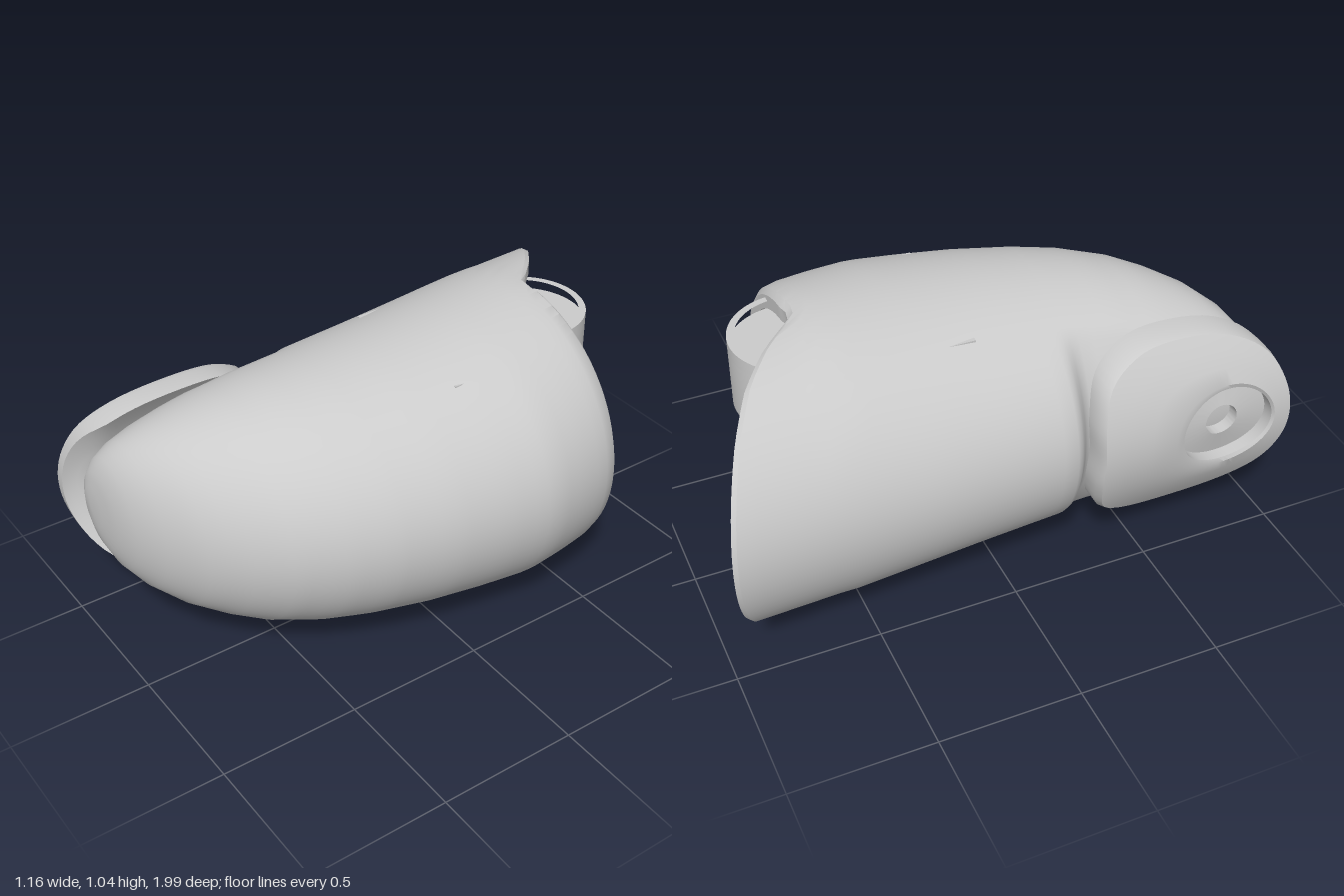
import * as THREE from 'three';
import { toCreasedNormals } from 'three/addons/utils/BufferGeometryUtils.js';

const MID = 0.52; // height of the horizontal symmetry plane

// Piecewise-linear lookup of column c in rows sorted by column 0
function lookup(rows, v, c) {
  if (v <= rows[0][0]) return rows[0][c];
  for (let i = 1; i < rows.length; i++) {
    const a = rows[i - 1], b = rows[i];
    if (v <= b[0]) return a[c] + (b[c] - a[c]) * (v - a[0]) / (b[0] - a[0]);
  }
  return rows[rows.length - 1][c];
}

// Skin a list of equal-length closed rings
function loft(rings, wrap = false) {
  const n = rings[0].length, pos = rings.flat(2), idx = [];
  const last = wrap ? rings.length : rings.length - 1;
  for (let i = 0; i < last; i++) {
    const p = i * n, q = ((i + 1) % rings.length) * n;
    for (let j = 0; j < n; j++) {
      const k = (j + 1) % n;
      idx.push(p + j, p + k, q + j, p + k, q + k, q + j);
    }
  }
  const g = new THREE.BufferGeometry();
  g.setAttribute('position', new THREE.Float32BufferAttribute(pos, 3));
  g.setIndex(idx);
  return toCreasedNormals(g, 0.6);
}

// Shell sections: z, left edge x, right edge x, half height
const SECTIONS = [
  [-1, -0.585, 0.5, 0.52], [-0.6, -0.572, 0.5, 0.51], [-0.56, -0.571, 0.525, 0.52],
  [-0.42, -0.565, 0.555, 0.515], [-0.27, -0.56, 0.58, 0.505], [-0.1, -0.55, 0.56, 0.49],
  [0.1, -0.54, 0.525, 0.473], [0.3, -0.53, 0.47, 0.453], [0.45, -0.525, 0.41, 0.433],
  [0.6, -0.515, 0.325, 0.4], [0.7, -0.505, 0.24, 0.365], [0.8, -0.49, 0.13, 0.32],
  [0.88, -0.475, 0, 0.265], [0.93, -0.46, -0.11, 0.205], [0.955, -0.44, -0.2, 0.145],
  [0.967, -0.41, -0.29, 0.08], [0.972, -0.36, -0.36, 0],
];
// Back cut: x, z (flat on one half, swept back on the other)
const BACK = [[-0.585, -1], [-0.4, -0.9], [-0.27, -0.82], [-0.15, -0.72], [-0.08, -0.645], [-0.02, -0.585], [0.02, -0.6]];
// Curved inner face of the pad and its seat
const seatX = (y) => -0.455 + 0.125 * ((y - MID) / 0.35) ** 2;

function shellPoint(angle, z, inset) {
  const l = lookup(SECTIONS, z, 1), r = lookup(SECTIONS, z, 2), h = lookup(SECTIONS, z, 3);
  let x = (l + r) / 2 + Math.max(0, (r - l) / 2 - inset) * Math.cos(angle);
  const y = MID + Math.max(0, h - inset) * Math.sin(angle);
  const seat = THREE.MathUtils.smoothstep(z, 0.2, 0.29);
  x += Math.max(0, seatX(y) + 0.008 - x) * seat;
  return [x, y, z];
}

function shellGeometry() {
  const N = 80, WALL = 0.06;
  const ring = (f) => Array.from({ length: N }, (_, j) => f((j / N) * Math.PI * 2));
  const backZ = (a, inset) => lookup(BACK, shellPoint(a, -0.65, inset)[0], 1);
  const rings = [];
  // cavity floor and inner wall
  const floorZ = -0.08;
  rings.push(ring(() => [0, MID, floorZ]));
  for (let i = 0; i <= 8; i++) {
    rings.push(ring((a) => shellPoint(a, THREE.MathUtils.lerp(floorZ, backZ(a, WALL), i / 8), WALL)));
  }
  // rounded rim, then outer wall
  rings.push(ring((a) => shellPoint(a, backZ(a, 0.012), 0.012)));
  for (let i = 0; i <= 14; i++) {
    rings.push(ring((a) => shellPoint(a, THREE.MathUtils.lerp(backZ(a, 0) + 0.02, 0.1, i / 14), 0)));
  }
  const zs = [0.15, 0.2, 0.22, 0.235, 0.25, 0.265, 0.29, 0.34, 0.4, 0.45, 0.5, 0.55, 0.6, 0.65, 0.7, 0.75,
    0.8, 0.84, 0.88, 0.905, 0.93, 0.943, 0.955, 0.961, 0.967, 0.972];
  for (const z of zs) rings.push(ring((a) => shellPoint(a, z, 0)));
  return loft(rings);
}

// Curved oval pad with a dished recess and a screw hole
function padGeometry() {
  const half = [[1, 0], [0.98, 0.13], [0.92, 0.245], [0.8, 0.32], [0.62, 0.35], [0.44, 0.335], [0.32, 0.26], [0.28, 0.13], [0.28, 0]];
  const all = [...half, ...half.slice(1, -1).reverse().map(([z, y]) => [z, -y])];
  const curve = new THREE.CatmullRomCurve3(all.map(([z, y]) => new THREE.Vector3(z, y, 0)), true);
  const N = 72, CZ = 0.76;
  const edge = Array.from({ length: N }, (_, j) => curve.getPoint(j / N));
  // ring between the recess oval (k = 0) and the outline (k = 1)
  const ring = (k, lift, r = null) => edge.map((p) => {
    const a = Math.atan2(p.y, p.x - CZ);
    const rz = r ?? 0.17, ry = r ?? 0.15;
    const z = THREE.MathUtils.lerp(CZ + rz * Math.cos(a), p.x, k);
    const y = MID + THREE.MathUtils.lerp(ry * Math.sin(a), p.y, k);
    const thin = 0.06 * THREE.MathUtils.smoothstep(z, 0.86, 1);
    return [seatX(y) - Math.max(lift, thin), y, z];
  });
  return loft([
    ring(0, 0.045, 0.06), ring(0, 0, 0.06),
    ring(0, 0), ring(0.33, 0), ring(0.66, 0), ring(1, 0),
    ring(1, 0.075), ring(0.96, 0.1), ring(0.7, 0.1), ring(0.4, 0.1), ring(0.1, 0.1), ring(0, 0.09),
    ring(0, 0.045),
  ], true);
}

// Hinge lug plan: rounded at the back, flaring into the cavity
const PIVOT = -0.57;
function lugOutline(r, flare, front) {
  const s = new THREE.Shape();
  s.moveTo(flare, front);
  s.lineTo(flare, front - 0.1);
  s.quadraticCurveTo(r, -0.35, r, PIVOT);
  s.absarc(0, PIVOT, r, 0, Math.PI, true);
  s.quadraticCurveTo(-r, -0.35, -flare, front - 0.1);
  s.lineTo(-flare, front);
  s.closePath();
  return s;
}
function slab(shape, y0, y1) {
  const g = new THREE.ExtrudeGeometry(shape, { depth: y1 - y0, bevelEnabled: false, curveSegments: 24 });
  g.rotateX(Math.PI / 2).translate(0, y1, 0);
  return toCreasedNormals(g, 0.6);
}
function lugBody() {
  const s = lugOutline(0.22, 0.28, -0.06);
  s.holes.push(new THREE.Path().absarc(0, PIVOT, 0.07, 0, Math.PI * 2, false));
  return s;
}
function lugRim() {
  const s = lugOutline(0.22, 0.28, -0.06);
  s.holes.push(lugOutline(0.195, 0.25, -0.09));
  return s;
}

export function createModel() {
  const model = new THREE.Group();
  const grey = new THREE.MeshStandardMaterial({ color: 0xcccccc });
  const add = (name, geometry, parent = model) => {
    const m = new THREE.Mesh(geometry, grey);
    m.name = name;
    parent.add(m);
  };

  add('shell', shellGeometry());
  add('pad', padGeometry());

  // Upper and lower hinge lugs with raised rims
  const upper = new THREE.Group();
  upper.name = 'upperHingeLug';
  add('lugBody', slab(lugBody(), 0.69, 0.9), upper);
  add('lugRim', slab(lugRim(), 0.9, 0.945), upper);
  const lower = new THREE.Group();
  lower.name = 'lowerHingeLug';
  add('lugBody', slab(lugBody(), 0.14, 0.24), lower);
  add('lugRimTop', slab(lugRim(), 0.24, 0.29), lower);
  add('lugRimBottom', slab(lugRim(), 0.095, 0.14), lower);
  model.add(upper, lower);
  return model;
}
